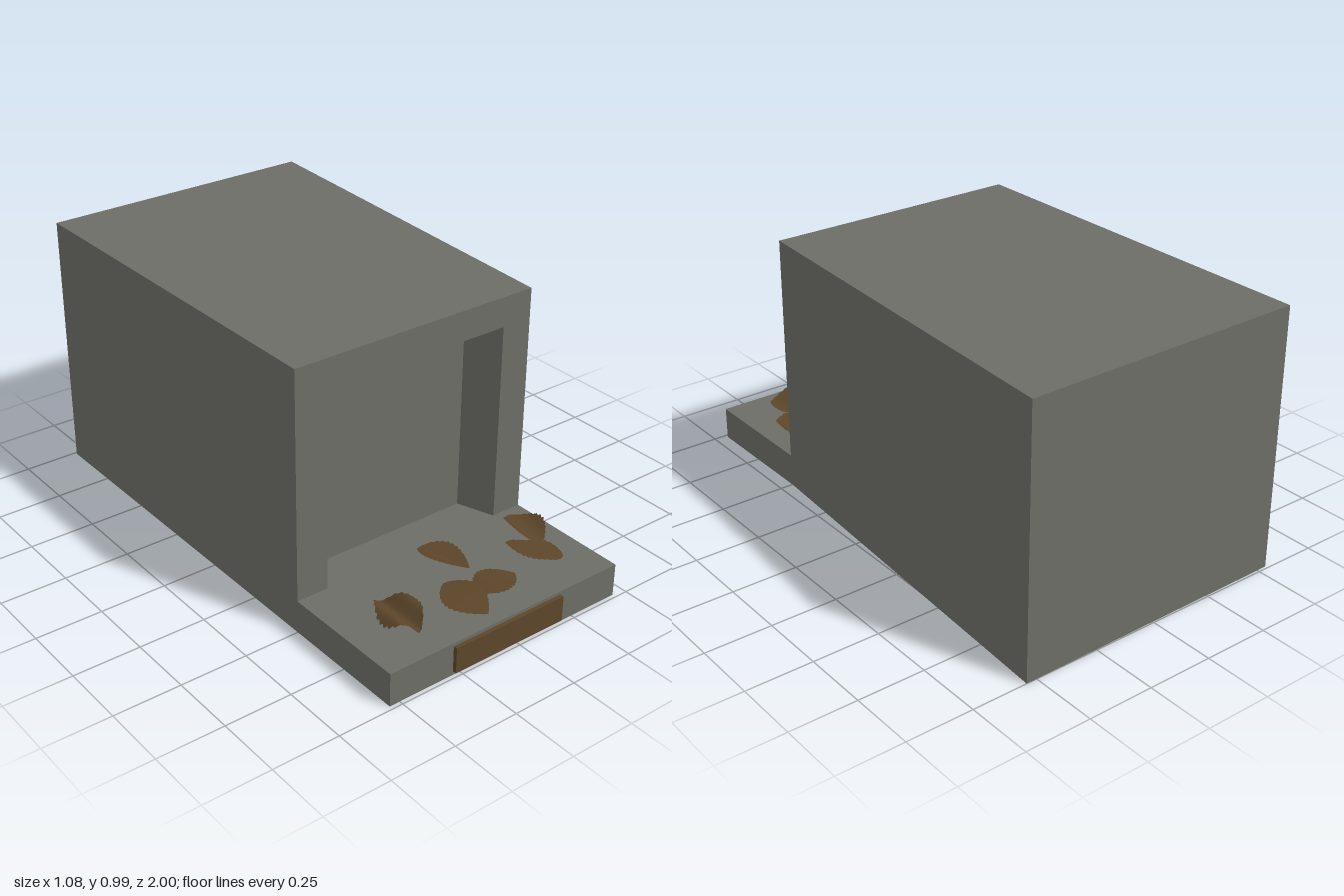
import * as THREE from 'three';

const stone = new THREE.MeshStandardMaterial({ color: 0x6c6d66 });
stone.name = 'grey stone';
const brown = new THREE.MeshStandardMaterial({ color: 0x5d462a, side: THREE.DoubleSide });
brown.name = 'dry brown';

// Upright block from a floor plan of [x, z] points, between two heights
function block(name, plan, y0, y1) {
  const shape = new THREE.Shape(plan.map(([x, z]) => new THREE.Vector2(x, -z)));
  const geo = new THREE.ExtrudeGeometry(shape, { depth: y1 - y0, bevelEnabled: false });
  geo.rotateX(-Math.PI / 2);
  geo.translate(0, y0, 0);
  const mesh = new THREE.Mesh(geo, stone);
  mesh.name = name;
  return mesh;
}

// Thin serrated leaf; its tip points along +z before turning, and lift(u, v)
// gives the height from u along the leaf and v across it, both -1 to 1
function leaf({ x, z, turn, length, width, lift }) {
  const rows = 22, cols = 12;
  const geo = new THREE.PlaneGeometry(1, 1, cols, rows);
  const p = geo.attributes.position;
  for (let i = 0; i < p.count; i++) {
    const t = 0.5 - p.getY(i);
    const row = Math.round(t * rows);
    const saw = row % 2 && row < rows - 1 ? 1.06 : 0.97;
    const v = p.getX(i) * 2 * Math.pow(Math.max(0, Math.sin(Math.PI * Math.pow(t, 0.85))), 0.85) * saw;
    const u = 2 * t - 1;
    p.setXYZ(i, v * width / 2, lift(u, v), u * length / 2);
  }
  geo.computeVertexNormals();
  const mesh = new THREE.Mesh(geo, brown);
  mesh.name = 'leaf';
  mesh.position.set(x, 0, z);
  mesh.rotation.y = turn;
  return mesh;
}

export function createModel() {
  const group = new THREE.Group();
  group.name = 'stoneChamber';

  // Base slab with front step, recessed walls, and roof
  const back = [[0.54, -1], [-0.54, -0.99]];
  group.add(block('baseSlab', [[-0.54, 0.985], [0.45, 0.985], [0.45, 0.5], ...back], 0, 0.125));
  group.add(block('recessedWalls', [
    [-0.54, 0.5], [-0.415, 0.5], [-0.36, 0.36], [0.28, 0.36], [0.33, 0.5], [0.45, 0.5], ...back,
  ], 0.125, 0.873));
  group.add(block('roof', [[-0.54, 0.5], [0.45, 0.5], ...back], 0.873, 0.985));

  // Plaque on the step
  const plaque = new THREE.Mesh(new THREE.BoxGeometry(0.47, 0.098, 0.015), brown);
  plaque.name = 'plaque';
  plaque.position.set(-0.045, 0.064, 0.9925);
  group.add(plaque);

  // Scattered curled leaves
  const leaves = new THREE.Group();
  leaves.name = 'leaves';
  [
    { x: -0.34, z: 0.77, turn: Math.PI, length: 0.23, width: 0.135,
      lift: (u, v) => 0.15 - 0.012 * v + 0.022 * Math.sin(4.2 * v - 0.9) },
    { x: -0.02, z: 0.63, turn: 0.3, length: 0.21, width: 0.12,
      lift: (u, v) => 0.153 + 0.026 * Math.abs(v) },
    { x: -0.12, z: 0.857, turn: 0, length: 0.22, width: 0.14,
      lift: (u, v) => 0.162 + 0.014 * v - 0.004 * u * u },
    { x: 0.025, z: 0.845, turn: 1.63, length: 0.18, width: 0.145,
      lift: (u, v) => 0.152 + 0.016 * (1 - u * u) - 0.004 * v },
    { x: 0.238, z: 0.803, turn: -2.35, length: 0.2, width: 0.17,
      lift: (u, v) => 0.178 + 0.018 * Math.sin(1.6 * (u + v)) },
    { x: 0.33, z: 0.665, turn: -0.2, length: 0.21, width: 0.14,
      lift: (u, v) => 0.152 + 0.034 * v * v - 0.008 * v },
  ].forEach((spec) => leaves.add(leaf(spec)));
  group.add(leaves);
  return group;
}
